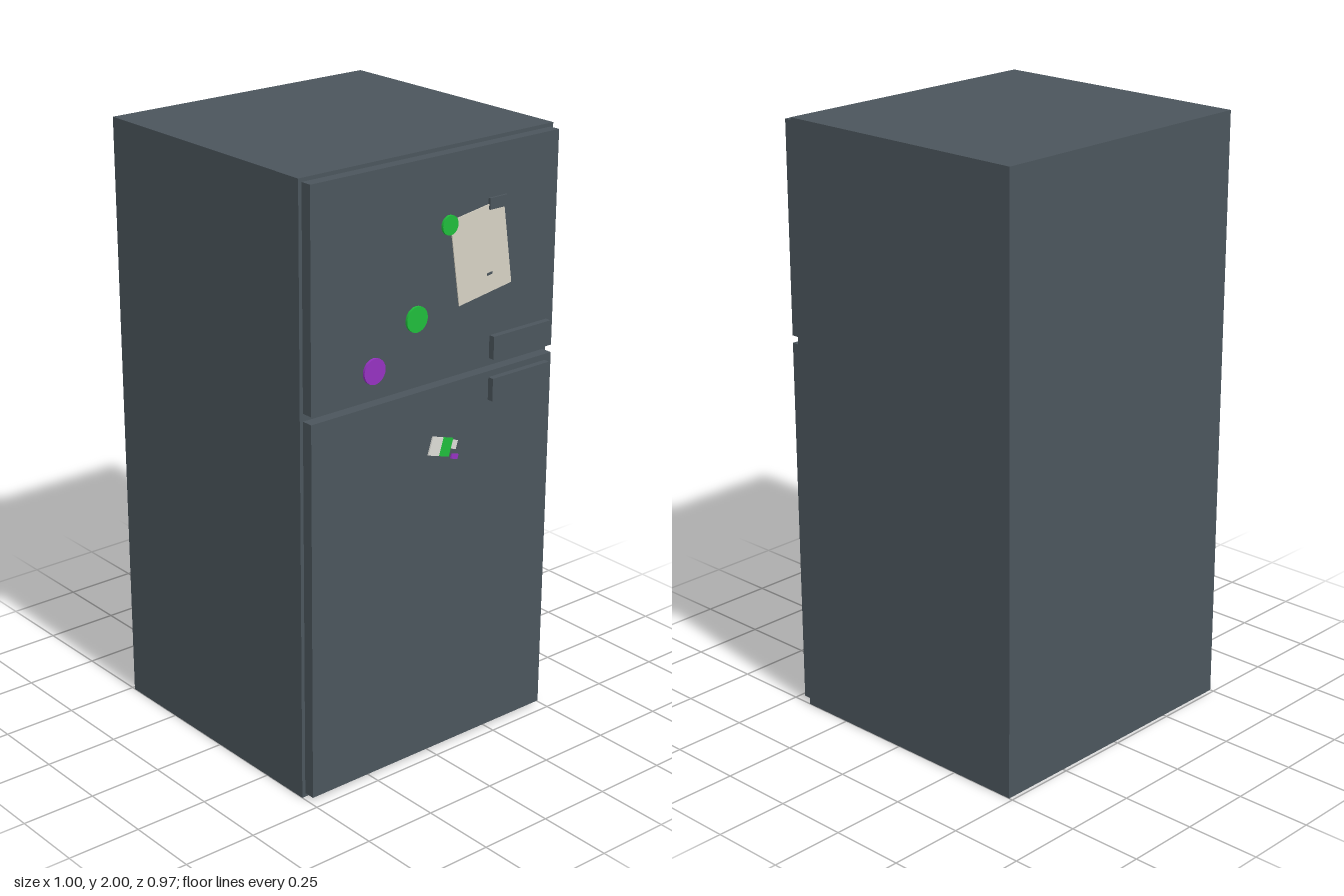
import * as THREE from 'three';

const mat = (name, color) => {
  const m = new THREE.MeshStandardMaterial({ color });
  m.name = name;
  return m;
};

export function createModel() {
  const slate = mat('slate enamel', 0x4b555c);
  const paper = mat('cream paper', 0xd6d1c3);
  const green = mat('green plastic', 0x20bc3c);
  const purple = mat('purple plastic', 0x9432c0);
  const white = mat('white card', 0xdcdcd6);

  const fridge = new THREE.Group();
  fridge.name = 'refrigerator';

  // Box given by its extents [x0, x1], [y0, y1], [z0, z1]
  const box = (name, m, [x0, x1], [y0, y1], [z0, z1], parent = fridge) => {
    const mesh = new THREE.Mesh(new THREE.BoxGeometry(x1 - x0, y1 - y0, z1 - z0), m);
    mesh.position.set((x0 + x1) / 2, (y0 + y1) / 2, (z0 + z1) / 2);
    mesh.name = name;
    parent.add(mesh);
    return mesh;
  };

  // Round magnet lying flat on a door
  const doorZ = 0.466;
  const magnet = (name, m, x, y, r) => {
    const mesh = new THREE.Mesh(new THREE.CylinderGeometry(r, r, 0.008, 24), m);
    mesh.rotation.x = Math.PI / 2;
    mesh.position.set(x, y, doorZ + 0.004);
    mesh.name = name;
    fridge.add(mesh);
  };

  // Cabinet and the two doors with a gap between them
  box('cabinet', slate, [-0.5, 0.5], [0, 2], [-0.487, 0.428]);
  box('freezerDoor', slate, [-0.488, 0.488], [1.29, 1.988], [0.428, doorZ]);
  box('fridgeDoor', slate, [-0.488, 0.488], [0.013, 1.265], [0.428, doorZ]);

  // Handles on either side of the gap
  box('freezerHandle', slate, [0.218, 0.461], [1.308, 1.383], [doorZ, 0.487]);
  box('fridgeHandle', slate, [0.218, 0.461], [1.17, 1.245], [doorZ, 0.487]);

  // Tilted note held by a round magnet and a clip
  const note = new THREE.Group();
  note.name = 'note';
  note.position.set(0.173, 1.66, doorZ);
  note.rotation.z = 0.15;
  fridge.add(note);
  box('noteSheet', paper, [-0.109, 0.109], [-0.139, 0.139], [0, 0.003], note);
  box('noteMark', slate, [0.014, 0.036], [-0.084, -0.076], [0.003, 0.004], note);
  box('noteClip', slate, [0.2, 0.272], [1.788, 1.824], [doorZ, 0.474]);

  magnet('noteMagnet', green, 0.041, 1.77, 0.031);
  magnet('greenMagnet', green, -0.086, 1.503, 0.041);
  magnet('purpleMagnet', purple, -0.251, 1.377, 0.041);

  // Small striped magnet on the lower door
  const flag = new THREE.Group();
  flag.name = 'stripedMagnet';
  flag.position.set(0.03, 1.062, doorZ);
  flag.rotation.z = -0.3;
  fridge.add(flag);
  box('whiteStripe', white, [-0.054, -0.009], [-0.03, 0.03], [0, 0.005], flag);
  box('greenStripe', green, [-0.009, 0.034], [-0.03, 0.03], [0, 0.005], flag);
  box('whiteTip', white, [0.034, 0.056], [-0.004, 0.024], [0, 0.005], flag);
  box('purpleTip', purple, [0.046, 0.074], [-0.036, -0.02], [0, 0.005], flag);

  return fridge;
}
